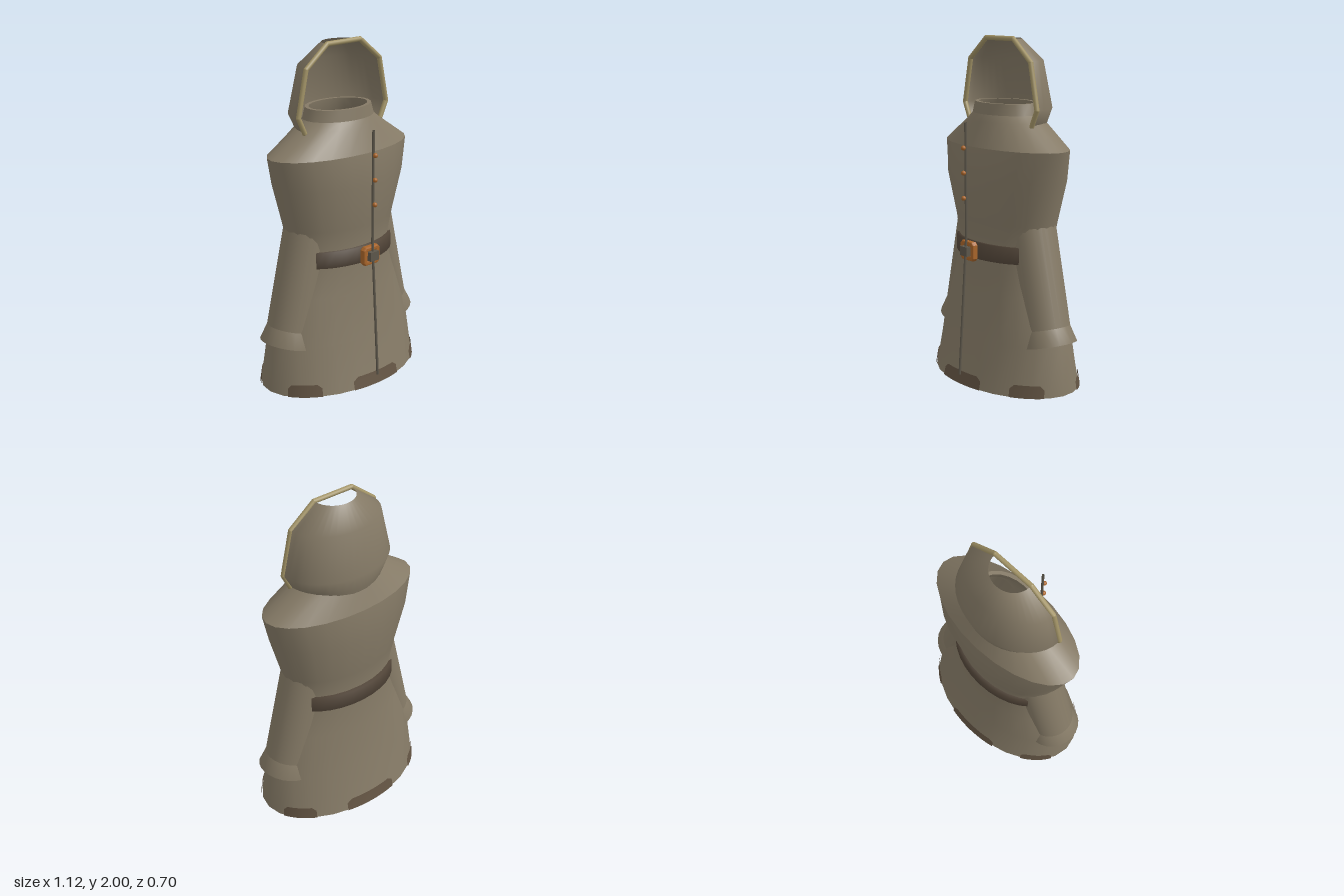
import * as THREE from 'three';

const mat = (name, color, side = THREE.DoubleSide) => {
  const m = new THREE.MeshStandardMaterial({ color, side });
  m.name = name;
  return m;
};

// Skin between elliptical rings [y, rx, rz] over the angles a0..a1 (0 = front, rising towards +x)
function loft(rings, { n = 24, a0 = 0, a1 = Math.PI * 2, zc = 0, grow = 0 } = {}) {
  const closed = a1 - a0 > 6.28;
  const cols = closed ? n : n + 1;
  const pos = [], idx = [];
  for (const [y, rx, rz, inset = 0] of rings) {
    for (let i = 0; i < cols; i++) {
      const a = a0 + inset + ((a1 - a0 - 2 * inset) * i) / n;
      pos.push((rx + grow) * Math.sin(a), y, zc + (rz + grow) * Math.cos(a));
    }
  }
  for (let j = 0; j < rings.length - 1; j++) {
    for (let i = 0; i < n; i++) {
      const k = (i + 1) % cols;
      const a = j * cols + i, b = j * cols + k, c = b + cols, d = a + cols;
      idx.push(a, b, c, a, c, d);
    }
  }
  const g = new THREE.BufferGeometry();
  g.setAttribute('position', new THREE.Float32BufferAttribute(pos, 3));
  g.setIndex(idx);
  g.computeVertexNormals();
  return g;
}

export function createModel() {
  const cloth = mat('cloth', 0x857a66);
  const leather = mat('belt leather', 0x54473a);
  const patchCloth = mat('patch cloth', 0x635443);
  const copper = mat('copper', 0xa9652a);
  const trim = mat('hood trim', 0xa39467);
  const seam = mat('seam', 0x5d574b);

  const model = new THREE.Group();
  model.name = 'hoodedCoat';
  const add = (name, geometry, material, parent = model) => {
    const m = new THREE.Mesh(geometry, material);
    m.name = name;
    parent.add(m);
    return m;
  };

  // Coat body: skirt and torso, then shoulders and collar above a crease
  const torso = [
    [0, 0.54, 0.343], [0.28, 0.515, 0.275], [0.55, 0.43, 0.238], [0.78, 0.35, 0.21],
    [0.95, 0.385, 0.228], [1.2, 0.455, 0.265], [1.38, 0.5, 0.24],
  ];
  const shoulders = [[1.38, 0.5, 0.24], [1.52, 0.285, 0.185], [1.56, 0.235, 0.165]];
  const collar = [[1.56, 0.235, 0.165], [1.625, 0.215, 0.155]];
  add('coatBody', loft(torso), cloth);
  add('shoulders', loft(shoulders), cloth);
  add('collar', loft(collar), cloth);
  add('lining', loft([...torso, ...shoulders.slice(1), collar[1]], { grow: -0.022 }), cloth);
  const rim = (name, y, rx, rz) =>
    add(name, loft([[y, rx, rz], [y, rx - 0.022, rz - 0.022]]), cloth);
  rim('collarRim', 1.625, 0.215, 0.155);
  rim('hemRim', 0, 0.54, 0.343);

  // Sleeves: leaning open tubes with flared cuffs
  for (const s of [1, -1]) {
    const sleeve = new THREE.Group();
    sleeve.name = s > 0 ? 'leftSleeve' : 'rightSleeve';
    const lathe = (pts) => new THREE.LatheGeometry(pts.map((p) => new THREE.Vector2(...p)), 24);
    add('arm', lathe([[0.14, 0.095], [0.14, 1.22]]), cloth, sleeve);
    add('cuff', lathe([[0.152, 0], [0.166, 0], [0.14, 0.095]]), cloth, sleeve);
    sleeve.position.set(s * 0.4, 0.27, 0);
    sleeve.rotation.z = s * 0.235;
    model.add(sleeve);
  }

  // Belt: a flat band with top and bottom edges
  add('belt', loft([
    [0.735, 0.345, 0.2], [0.735, 0.372, 0.238], [0.83, 0.368, 0.238], [0.83, 0.34, 0.2],
  ], { n: 32 }), leather);

  // Buckle: bevelled square frame with a centre block
  const frame = new THREE.Shape();
  const w = 0.056, h = 0.048, c = 0.012;
  frame.moveTo(-w + c, -h);
  for (const [x, y] of [[w - c, -h], [w, -h + c], [w, h - c], [w - c, h],
    [-w + c, h], [-w, h - c], [-w, -h + c]]) frame.lineTo(x, y);
  const hole = new THREE.Path();
  hole.moveTo(-0.04, -0.035);
  hole.lineTo(-0.04, 0.035);
  hole.lineTo(0.04, 0.035);
  hole.lineTo(0.04, -0.035);
  frame.holes.push(hole);
  add('buckleFrame', new THREE.ExtrudeGeometry(frame, {
    depth: 0.02, bevelSize: 0.008, bevelThickness: 0.008, bevelSegments: 2,
  }), copper).position.set(0, 0.782, 0.256);
  add('buckleCentre', new THREE.BoxGeometry(0.066, 0.054, 0.03), seam)
    .position.set(0, 0.782, 0.292);

  // Front seam: a thin cord in two straight runs
  const seamPts = [[0, 1.52, 0.285], [0, 0.86, 0.285], [0, 0.05, 0.338]]
    .map((p) => new THREE.Vector3(...p));
  for (let i = 0; i < 2; i++) {
    const run = new THREE.LineCurve3(seamPts[i], seamPts[i + 1]);
    add('frontSeam', new THREE.TubeGeometry(run, 1, 0.0075, 8), seam);
  }

  // Buttons
  for (const y of [1.378, 1.235, 1.09]) {
    add('button', new THREE.SphereGeometry(0.014, 12, 8), copper).position.set(0, y, 0.301);
  }

  // Hem patches: thin plates with clipped upper corners
  const deg = Math.PI / 180;
  for (const [mid, half] of [[0, 19], [180, 19], [56, 14], [-56, 14], [124, 14], [-124, 14]]) {
    add('hemPatch', loft([
      [0.001, 0.54, 0.343], [0.05, 0.536, 0.331], [0.073, 0.534, 0.326, 3.5 * deg],
    ], { n: 8, a0: (mid - half) * deg, a1: (mid + half) * deg, grow: 0.005 }), patchCloth);
  }

  // Hood: half-round shell open at the face, the underside and the crown
  const hood = [
    [1.45, 0.265, 0.225], [1.51, 0.295, 0.24], [1.6, 0.345, 0.255],
    [1.865, 0.285, 0.21], [1.985, 0.125, 0.115],
  ];
  add('hood', loft(hood, { n: 20, a0: Math.PI / 2, a1: Math.PI * 1.5, zc: 0.035 }), cloth);

  // Hood trim: straight rods with round joints around the face
  const half = [[0.297, 1.508], [0.342, 1.6], [0.284, 1.862], [0.127, 1.985]];
  const pts = [...half, ...half.map(([x, y]) => [-x, y]).reverse()]
    .map(([x, y]) => new THREE.Vector3(x, y, 0.045));
  const trimGroup = new THREE.Group();
  trimGroup.name = 'hoodTrim';
  model.add(trimGroup);
  pts.forEach((p, i) => {
    add('trimJoint', new THREE.SphereGeometry(0.0145, 10, 8), trim, trimGroup).position.copy(p);
    if (i < pts.length - 1) {
      const rod = new THREE.LineCurve3(p, pts[i + 1]);
      add('trimRod', new THREE.TubeGeometry(rod, 1, 0.0145, 10), trim, trimGroup);
    }
  });

  return model;
}
